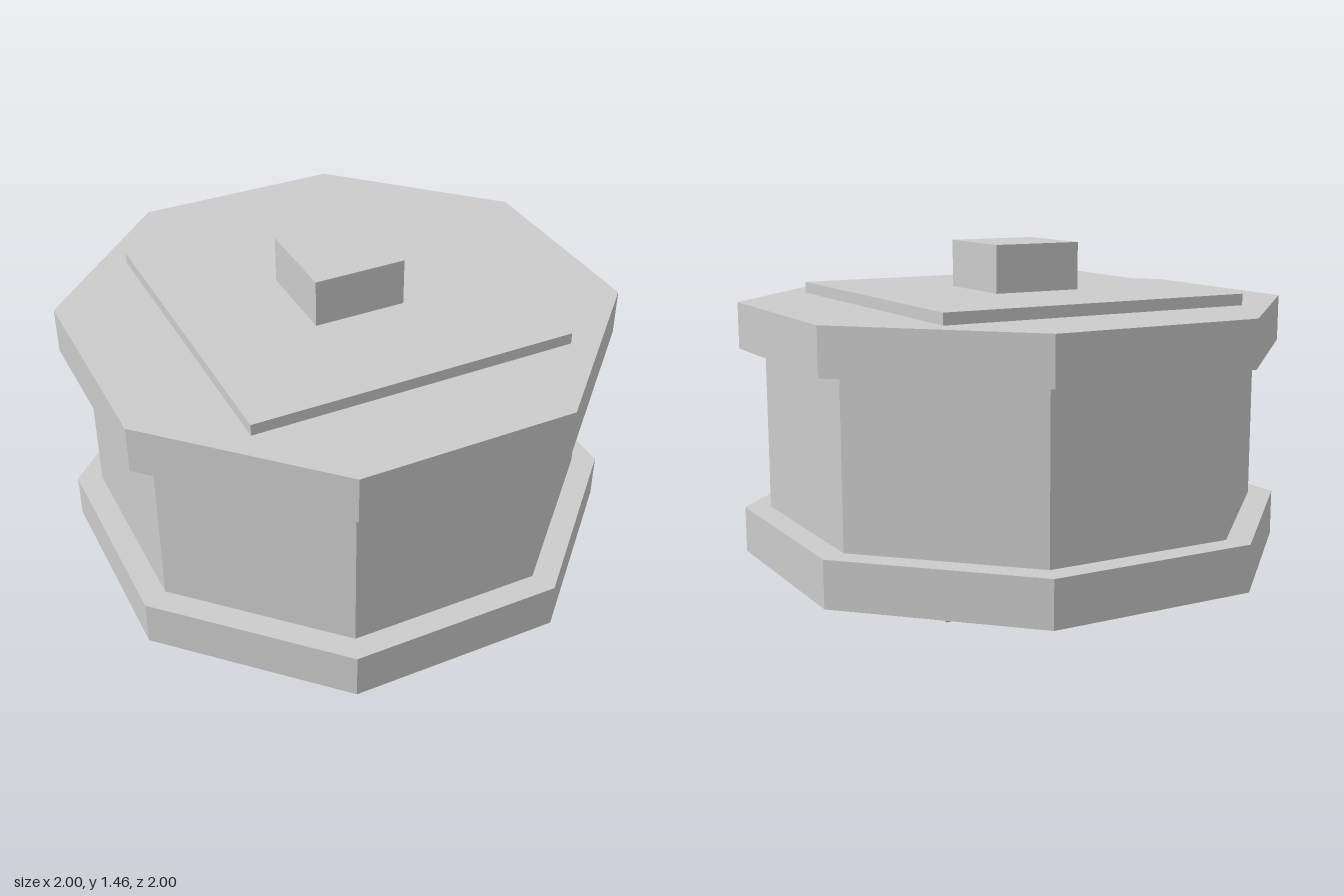
import * as THREE from 'three';

const material = new THREE.MeshStandardMaterial({ color: 0xcccccc, flatShading: true });

export function createModel() {
  const model = new THREE.Group();

  const add = (name, geometry, y0, y1) => {
    const mesh = new THREE.Mesh(geometry, material);
    mesh.name = name;
    mesh.position.y = (y0 + y1) / 2;
    model.add(mesh);
  };

  // Octagonal prism given its half width across flats, flats facing the axes
  const octagon = (name, halfWidth, y0, y1) => {
    const r = halfWidth / Math.cos(Math.PI / 8);
    const geometry = new THREE.CylinderGeometry(r, r, y1 - y0, 8).rotateY(Math.PI / 8);
    add(name, geometry, y0, y1);
  };

  // Square slab
  const square = (name, width, y0, y1) =>
    add(name, new THREE.BoxGeometry(width, y1 - y0, width), y0, y1);

  // Central drum
  const height = 1.457;
  octagon('drum', 0.907, 0.409, height - 0.409);

  // Rim, cover plate and axle stub, mirrored at both ends
  const endPart = (build, name, size, y0, y1) => {
    build('bottom' + name, size, y0, y1);
    build('top' + name, size, height - y1, height - y0);
  };
  endPart(octagon, 'Rim', 1, 0.228, 0.409);
  endPart(square, 'Plate', 1.27, 0.184, 0.228);
  endPart(square, 'AxleStub', 0.362, 0, 0.184);

  return model;
}
